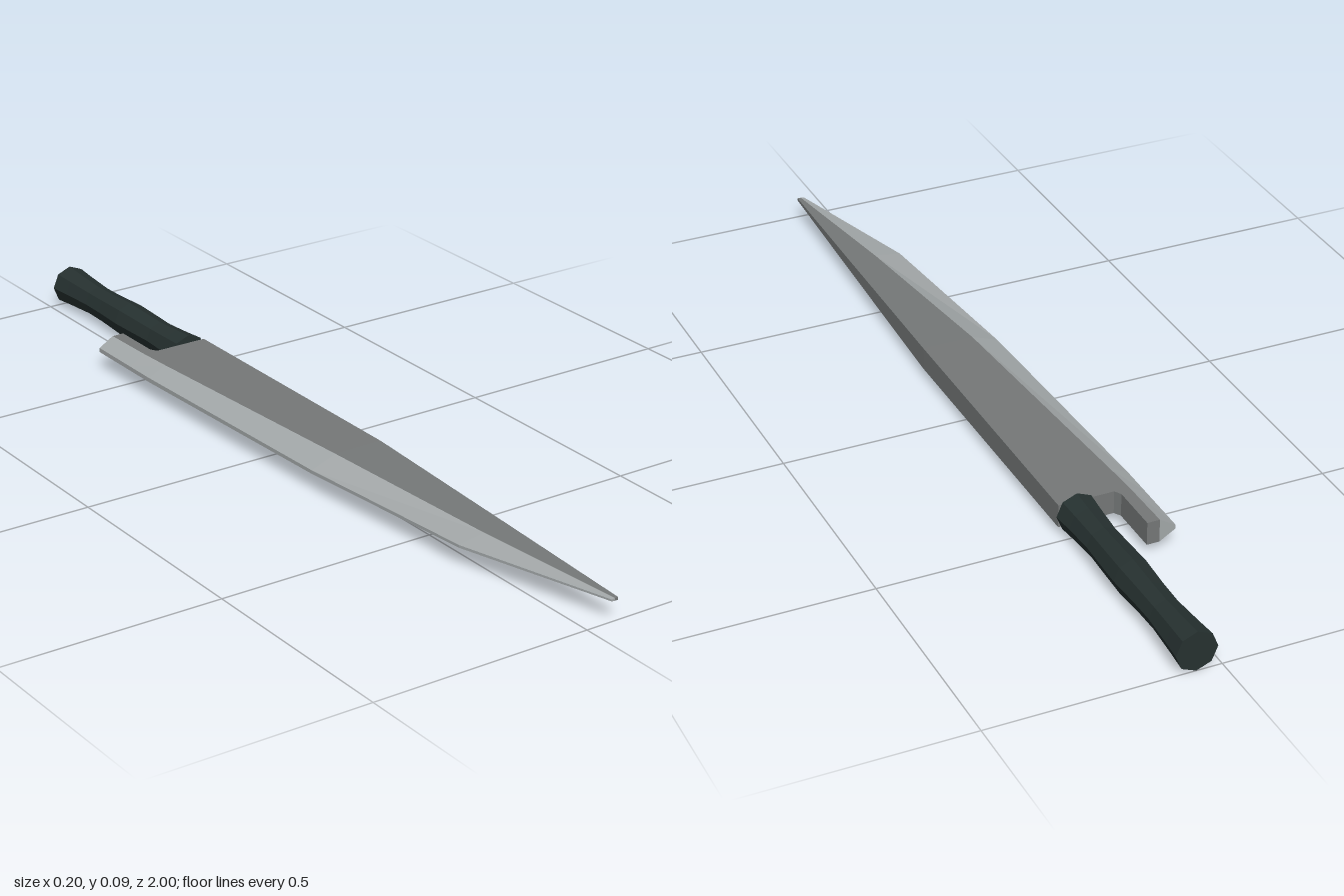
import * as THREE from 'three';

const MID = 0.046; // height of the blade's centre plane

// Flat-shaded strip through cross-sections (lists of [x, y], clockwise seen from +z).
function loft(name, color, sections, { back = false, front = false } = {}) {
  const pos = [];
  const tri = (...pts) => pts.forEach((p) => pos.push(...p));
  const rings = sections.map((s) => s.pts.map(([x, y]) => [x, MID + y, s.z]));
  for (let i = 0; i < rings.length - 1; i++) {
    for (let j = 0; j < rings[i].length - 1; j++) {
      const a = rings[i][j], b = rings[i][j + 1], c = rings[i + 1][j + 1], d = rings[i + 1][j];
      tri(a, d, c);
      tri(a, c, b);
    }
  }
  if (back) {
    const [a, b, c, d] = rings[0];
    tri(a, b, c);
    tri(a, c, d);
  }
  if (front) {
    const [a, b, c, d] = rings[rings.length - 1];
    tri(a, c, b);
    tri(a, d, c);
  }
  const geometry = new THREE.BufferGeometry();
  geometry.setAttribute('position', new THREE.Float32BufferAttribute(pos, 3));
  geometry.computeVertexNormals();
  const mesh = new THREE.Mesh(geometry, new THREE.MeshStandardMaterial({ color, flatShading: true }));
  mesh.name = name;
  return mesh;
}

// Cross-section of the thick part, from the bevel line to the spine
const bodyPts = (bevel, spine, h) => [[bevel, h], [spine, h], [spine, -h], [bevel, -h]];
// Cross-section of the sharpened part, from the bevel line to the edge
const bevelPts = (bevel, edge, h, e) => [[bevel, -h], [edge, -e], [edge, e], [bevel, h]];

export function createModel() {
  const model = new THREE.Group();
  const steel = 0x757878, ground = 0xa3a8a9, grip = 0x263130;

  // Blade stations: z, cutting edge x, bevel line x, spine x, half thickness, half edge thickness
  const stations = [
    [-0.61, -0.1, -0.065, null, 0.026, 0.005],
    [-0.48, -0.1, -0.062, 0.096, 0.026, 0.005],
    [-0.4, -0.1, -0.058, 0.096, 0.026, 0.005],
    [0.2, -0.08, -0.02, 0.096, 0.026, 0.004],
    [0.65, -0.04, 0.022, 0.084, 0.013, 0.003],
    [1, 0.058, 0.066, 0.074, 0.003, 0.002],
  ];
  const blade = new THREE.Group();
  blade.name = 'blade';
  blade.add(
    loft('bladeBody', steel, stations.slice(1).map(([z, , bevel, spine, h]) =>
      ({ z, pts: bodyPts(bevel, spine, h) })), { front: true }),
    loft('bladeBevel', ground, stations.map(([z, edge, bevel, , h, e]) =>
      ({ z, pts: bevelPts(bevel, edge, h, e) })), { back: true, front: true }),
    // Hooked prong behind the heel, with a small chamfer at the notch
    loft('heelProng', steel, [[-0.61, -0.065, -0.037], [-0.495, -0.0625, -0.037], [-0.48, -0.062, -0.028]]
      .map(([z, bevel, inner]) => ({ z, pts: bodyPts(bevel, inner, 0.026) })), { back: true }),
    // Rear wall of the blade beside the notch
    loft('bladeHeel', steel, [{ z: -0.48, pts: bodyPts(-0.028, 0.096, 0.026) }], { back: true }),
  );
  model.add(blade);

  // Eight-sided grip with two waists
  const profile = [
    [0, -1], [0.045, -1], [0.041, -0.95], [0.036, -0.87], [0.037, -0.81], [0.041, -0.73],
    [0.039, -0.66], [0.037, -0.6], [0.041, -0.53], [0.045, -0.48], [0, -0.48],
  ].map(([r, z]) => new THREE.Vector2(r, z));
  const handle = new THREE.Mesh(
    new THREE.LatheGeometry(profile, 8),
    new THREE.MeshStandardMaterial({ color: grip, flatShading: true }),
  );
  handle.name = 'handle';
  handle.rotation.x = Math.PI / 2;
  handle.position.set(0.055, 0.045, 0);
  model.add(handle);

  return model;
}
